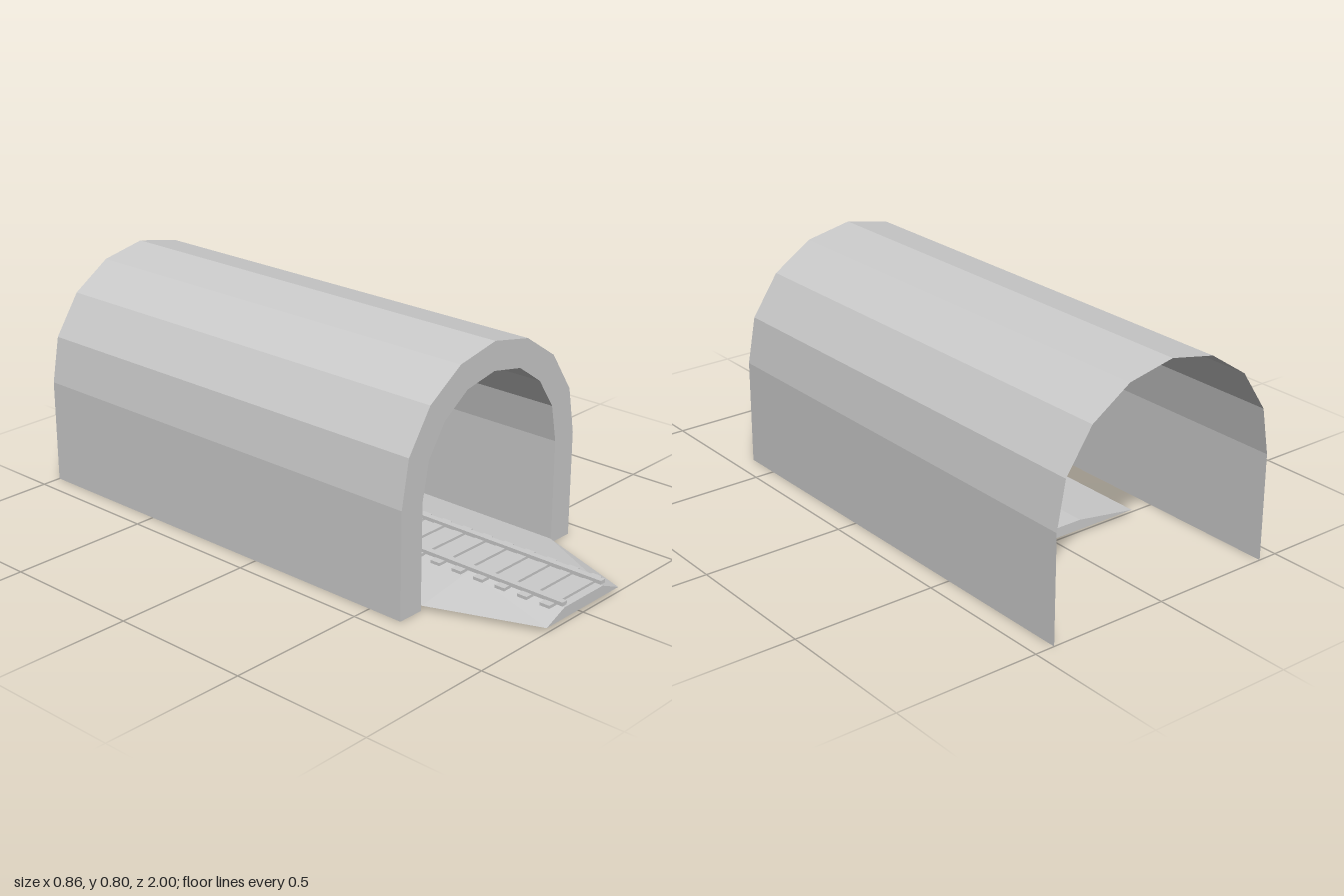
import * as THREE from 'three';

const material = new THREE.MeshStandardMaterial({ color: 0xcccccc, flatShading: true, side: THREE.DoubleSide });

// Mirror a right-hand half profile (foot to crown) into a full one, from -x to +x
function mirrored(half) {
  const left = half.map(([x, y]) => [-x, y]);
  const right = half.filter(([x]) => x > 0).reverse();
  return [...left, ...right];
}

// Open strip of flat panels through sections { z, points }, ordered front to back
function loft(sections) {
  const pos = [];
  for (let s = 0; s < sections.length - 1; s++) {
    const f = sections[s], b = sections[s + 1];
    for (let i = 0; i < f.points.length - 1; i++) {
      const p = [...f.points[i], f.z], q = [...f.points[i + 1], f.z];
      const r = [...b.points[i + 1], b.z], t = [...b.points[i], b.z];
      pos.push(...p, ...q, ...r, ...p, ...r, ...t);
    }
  }
  const geo = new THREE.BufferGeometry();
  geo.setAttribute('position', new THREE.Float32BufferAttribute(pos, 3));
  geo.computeVertexNormals();
  return geo;
}

// Flat face cut to a profile; back faces are turned to look along -z
function cap(points, z, back = false) {
  const geo = new THREE.ShapeGeometry(new THREE.Shape(points.map(p => new THREE.Vector2(...p))));
  if (back) geo.rotateY(Math.PI);
  return geo.translate(0, 0, z);
}

export function createModel() {
  const model = new THREE.Group();
  model.name = 'railwayTunnel';
  const add = (parent, name, geo) => {
    const mesh = new THREE.Mesh(geo, material);
    mesh.name = name;
    parent.add(mesh);
    return mesh;
  };

  // Tunnel: full-length outer shell, half-length lining, portal ring
  const mouth = 0.627, middle = 0;
  const outer = mirrored([[0.43, 0], [0.43, 0.37], [0.4, 0.532], [0.305, 0.673], [0.165, 0.765], [0, 0.798]]);
  const inner = mirrored([[0.334, 0], [0.334, 0.366], [0.308, 0.497], [0.236, 0.603], [0.13, 0.675], [0, 0.7]]);
  const innerReversed = [...inner].reverse();
  add(model, 'outerShell', loft([{ z: mouth, points: outer }, { z: -1, points: outer }]));
  add(model, 'innerLining', loft([{ z: mouth, points: innerReversed }, { z: middle, points: innerReversed }]));
  add(model, 'portalFace', cap([...outer, ...innerReversed], mouth));

  // Ballast bed: sloping banks and a flat crown, hollow below
  const bank = (foot, crown = 0.054) => mirrored([[foot, 0.017], [0.1, crown]]);
  const bed = new THREE.Group();
  bed.name = 'trackBed';
  model.add(bed);
  add(bed, 'frontBed', loft([
    { z: 1, points: bank(0.187) },
    { z: mouth, points: bank(0.33) },
    { z: middle, points: bank(0.33) },
  ]));
  add(bed, 'frontBedEnd', cap(bank(0.187), 1));
  add(bed, 'frontBedBack', cap(bank(0.33), middle, true));
  const rear = bank(0.33, 0.052), rearEnd = -0.513;
  add(bed, 'rearBed', loft([{ z: middle, points: rear }, { z: rearEnd, points: rear }]));
  add(bed, 'rearBedEnd', cap(rear, rearEnd, true));

  // Track: sleepers and two rails
  const track = new THREE.Group();
  track.name = 'track';
  model.add(track);
  const sleeper = new THREE.BoxGeometry(0.274, 0.0105, 0.037);
  for (let i = 0; i < 15; i++) {
    add(track, 'sleeper', sleeper).position.set(0, 0.0577, 0.952 - i * 0.087);
  }
  const railEnd = -0.285;
  const rail = new THREE.BoxGeometry(0.022, 0.013, 1 - railEnd);
  for (const side of [-1, 1]) {
    add(track, side > 0 ? 'leftRail' : 'rightRail', rail).position.set(side * 0.1, 0.0675, (1 + railEnd) / 2);
  }
  return model;
}
